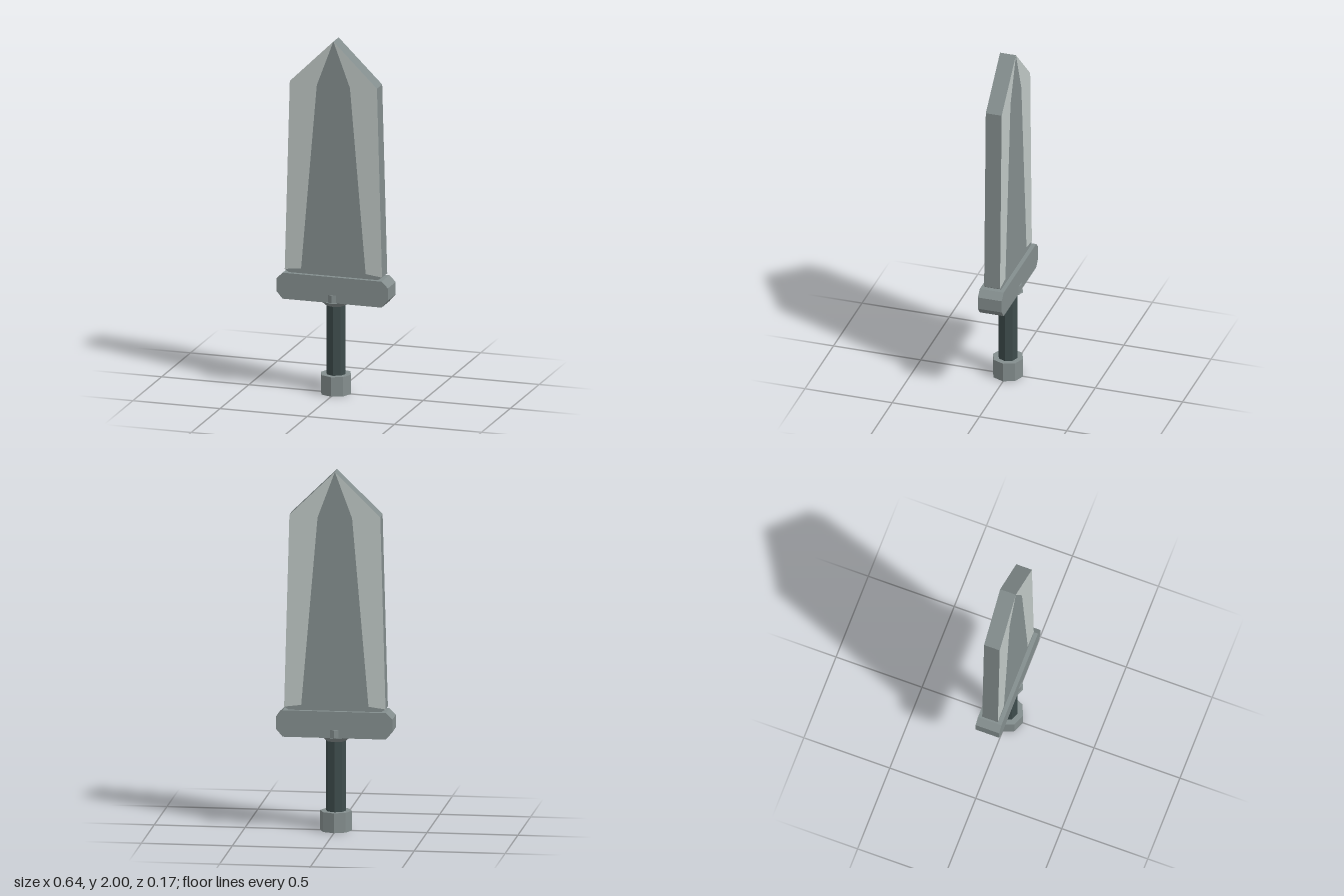
import * as THREE from 'three';

const material = (color) => new THREE.MeshStandardMaterial({ color, flatShading: true });

// Centred extrusion of an outline along z
function slab(name, points, depth, materials) {
  const shape = new THREE.Shape(points.map(([x, y]) => new THREE.Vector2(x, y)));
  const geometry = new THREE.ExtrudeGeometry(shape, { depth, bevelEnabled: false });
  geometry.translate(0, 0, -depth / 2);
  const mesh = new THREE.Mesh(geometry, materials);
  mesh.name = name;
  return mesh;
}

// Eight-sided upright prism between two heights
function octagon(name, rTop, rBottom, y0, y1, mat) {
  const mesh = new THREE.Mesh(new THREE.CylinderGeometry(rTop, rBottom, y1 - y0, 8), mat);
  mesh.position.y = (y0 + y1) / 2;
  mesh.name = name;
  return mesh;
}

// Closes a right-hand outline with its mirror image
const mirrored = (half) => [
  ...half,
  ...half.filter(([x]) => x > 0).reverse().map(([x, y]) => [-x, y]),
];

export function createModel() {
  const model = new THREE.Group();
  model.name = 'sword';
  const steel = material(0x848e8e);
  const edgeSteel = material(0xc0c8c6);
  const gripDark = material(0x3e4c4c);

  // Blade: darker core panel flanked by two pale cutting edges, all flush
  const blade = new THREE.Group();
  blade.name = 'blade';
  const depth = 0.091;
  const core = [[0.25, 0.66], [0.255, 0.672], [0.279, 0.688], [0.185, 0.7], [0.095, 1.745], [0, 2]];
  blade.add(slab('bladeCore', mirrored(core), depth, steel));
  const edge = [[0.279, 0.688], [0.25, 1.755], [0, 2], [0.095, 1.745], [0.185, 0.7]];
  for (const [name, s] of [['leftEdge', 1], ['rightEdge', -1]]) {
    blade.add(slab(name, edge.map(([x, y]) => [s * x, y]), depth, [edgeSteel, steel]));
  }
  model.add(blade);

  // Guard with chamfered ends
  const guard = [[0.284, 0.525], [0.32, 0.567], [0.32, 0.637], [0.284, 0.672]];
  model.add(slab('guard', mirrored(guard), 0.137, steel));

  // Collar under the guard, its ridges just breaking through the guard faces
  model.add(octagon('collar', 0.078, 0.078, 0.522, 0.57, steel));
  model.add(octagon('collarTaper', 0.087, 0.056, 0.5, 0.526, steel));

  // Grip and pommel
  model.add(octagon('grip', 0.055, 0.055, 0.1, 0.53, gripDark));
  model.add(octagon('pommel', 0.087, 0.087, 0, 0.11, steel));
  return model;
}
